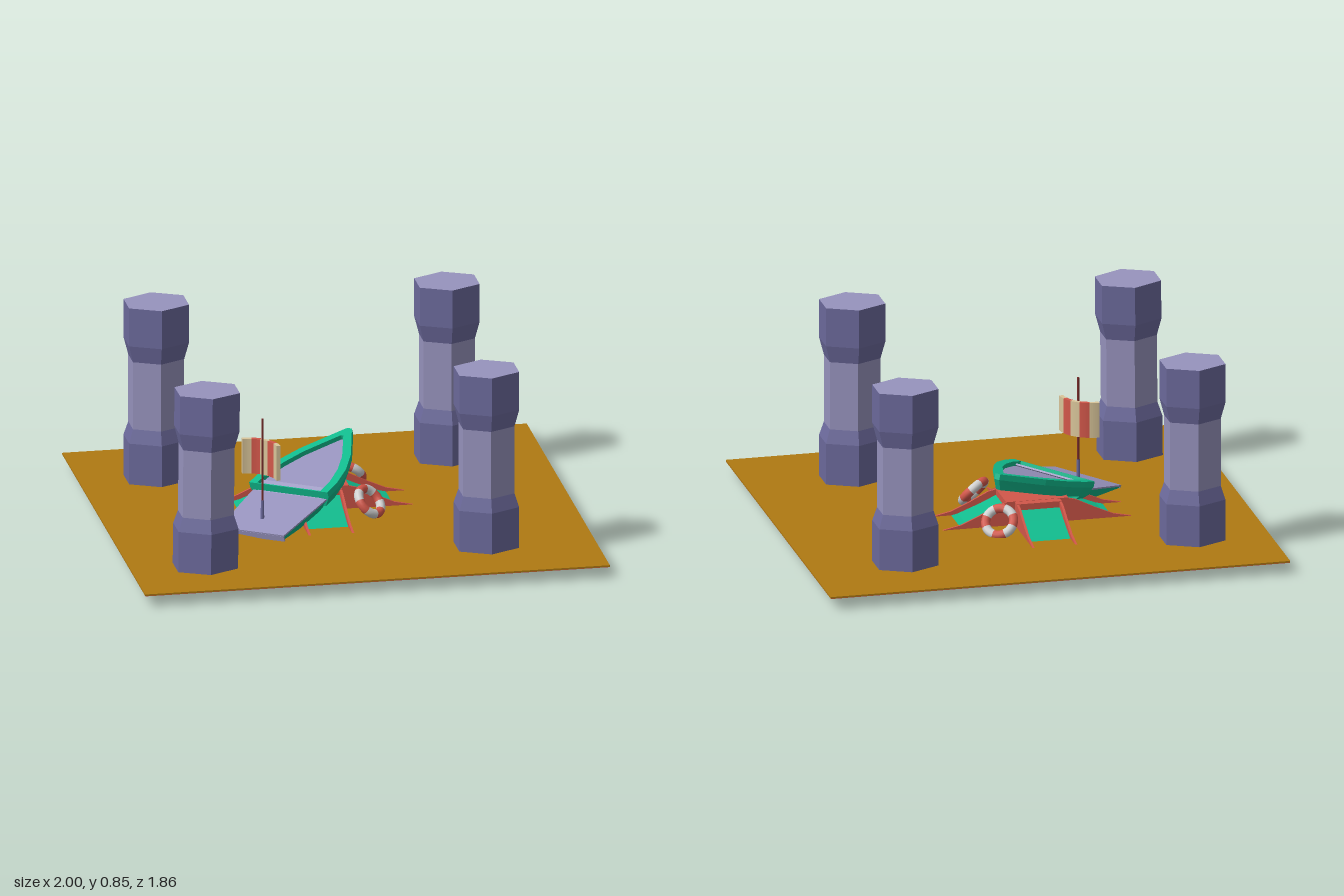
import * as THREE from 'three';

const mat = (name, color, extra = {}) => Object.assign(new THREE.MeshStandardMaterial({ color, ...extra }), { name });

export function createModel() {
  const sand = mat('ochre ground', 0xb07a12);
  const red = mat('red', 0xd2574a);
  const green = mat('green', 0x11bc8e);
  const stone = mat('pale violet', 0x9793bd);
  const darkStone = mat('dark violet', 0x6c6a9c);
  const cream = mat('cream', 0xd9c59a);
  const white = mat('white', 0xd0d0d0);
  const wood = mat('dark red wood', 0x7a2c2a);

  const model = new THREE.Group();
  const add = (parent, name, geo, material, x = 0, y = 0, z = 0) => {
    const m = new THREE.Mesh(geo, material);
    m.name = name;
    m.position.set(x, y, z);
    parent.add(m);
    return m;
  };
  const group = (parent, name, x = 0, y = 0, z = 0) => {
    const g = new THREE.Group();
    g.name = name;
    g.position.set(x, y, z);
    parent.add(g);
    return g;
  };
  const shapeOf = (pts) => new THREE.Shape(pts.map(([x, y]) => new THREE.Vector2(x, y)));
  const mirrorX = (pts) => pts.map(([x, y]) => [-x, y]).reverse();

  // Ground sheet with a red underside
  add(model, 'ground', new THREE.BoxGeometry(2, 0.007, 1.86), sand, 0, 0.0545, 0);
  add(model, 'groundUnderside', new THREE.BoxGeometry(1.998, 0.002, 1.858), red, 0, 0.05, 0);

  // Hexagonal pillars with flared ends: [bottom, top, bottom radius, top radius, dark]
  const wide = 0.125, slim = 0.107;
  const bands = [
    [0, 0.185, wide, wide, true], [0.185, 0.245, wide, slim, true], [0.245, 0.545, slim, slim, false],
    [0.545, 0.62, slim, wide, true], [0.62, 0.79, wide, wide, true],
  ];
  [[-0.67, -0.54], [0.587, -0.57], [-0.68, 0.612], [0.537, 0.575]].forEach(([x, z], i) => {
    const pillar = group(model, 'pillar', x, 0.055, z);
    pillar.scale.x = 1.19;
    if (i === 2) {
      // one pillar has settled and leans a little
      pillar.position.y = 0.05;
      pillar.rotation.set(-0.01, 0, -0.012);
    }
    bands.forEach(([y0, y1, r0, r1, dark]) => {
      const side = dark ? darkStone : stone;
      add(pillar, dark ? 'pillarFlare' : 'pillarShaft', new THREE.CylinderGeometry(r1, r0, y1 - y0, 6).toNonIndexed(),
        [side, stone, darkStone], 0, (y0 + y1) / 2, 0).geometry.computeVertexNormals();
    });
  });

  // Cross-shaped building half sunk in the ground
  const cross = group(model, 'sunkenBuilding', -0.08, 0, -0.095);
  const slope = [[0.135, 0.13], [0.2, 0.1], [0.3, 0.061], [0.4, 0.037], [0.585, 0.02]];
  const eave = [[0.55, 0], [0.615, 0.022], [0.6, 0.045], [0.42, 0.056], [0.33, 0.075], [0.25, 0.11], [0.17, 0.15], [0.13, 0.16]];
  const body = [[0.55, 0], ...[...slope].reverse()];
  const extrude = (pts, depth) => new THREE.ExtrudeGeometry(shapeOf(pts), { depth, bevelEnabled: false }).translate(0, 0, -depth / 2);
  const both = (pts) => [...pts, ...mirrorX(pts)];
  for (const turn of [0, Math.PI / 2]) {
    const wing = group(cross, 'wing');
    wing.rotation.y = turn;
    add(wing, 'wingBody', extrude(both(body), 0.18), red);
    for (const s of [-1, 1]) {
      add(wing, 'sideRail', extrude(both(eave), 0.01), red, 0, 0, s * 0.093);
      const roof = [...slope].reverse().concat(slope.map(([x, y]) => [x, y + 0.004]));
      const strip = add(wing, 'slopingRoof', extrude(roof, 0.178), green);
      strip.rotation.y = s > 0 ? 0 : Math.PI;
    }
  }
  add(cross, 'centreBlock', new THREE.BoxGeometry(0.27, 0.04, 0.196), red, 0, 0.142, 0);
  add(cross, 'centreBlockAcross', new THREE.BoxGeometry(0.196, 0.04, 0.27), red, 0, 0.141, 0);

  // Boat pitched bow-up, pointing along its local +z
  const heading = 2.38;
  const boat = group(model, 'boat', -0.22, 0.195, 0.075);
  boat.rotation.set(-0.255, heading, -0.08, 'YXZ');
  const slab = (pts, depth, taper = 1, hole) => {
    const shape = shapeOf(pts);
    if (hole) shape.holes.push(new THREE.Path(hole.map(([x, y]) => new THREE.Vector2(x, y))));
    const geo = new THREE.ExtrudeGeometry(shape, { depth, bevelEnabled: false }).rotateX(Math.PI / 2);
    const p = geo.attributes.position;
    for (let i = 0; i < p.count; i++) {
      if (p.getY(i) < -depth / 2) p.setXYZ(i, p.getX(i) * taper, p.getY(i), p.getZ(i) * (1 + taper) / 2);
    }
    geo.computeVertexNormals();
    return geo;
  };
  const bowSide = [[0.2, 0], [0.198, 0.08], [0.175, 0.19], [0.13, 0.3], [0.07, 0.4], [0.012, 0.495]];
  const innerSide = [[0.162, 0.005], [0.16, 0.08], [0.138, 0.18], [0.098, 0.28], [0.045, 0.37], [0.006, 0.435]];
  const outline = both(bowSide), inner = both(innerSide);
  add(boat, 'foreHull', slab(outline, 0.045, 0.88), green, 0, -0.025, 0);
  add(boat, 'foreRim', slab(outline, 0.025, 1, inner), green);
  add(boat, 'foreDeck', slab(inner, 0.006), stone, 0, -0.02, 0);
  add(boat, 'deckStep', new THREE.BoxGeometry(0.325, 0.008, 0.055), stone, 0, -0.025, 0.022).rotation.x = -0.5;
  const aft = [[-0.165, -0.31], [0.165, -0.31], [0.19, 0.03], [-0.19, 0.03]];
  add(boat, 'aftHull', slab(aft, 0.08, 0.6), green, 0, -0.04, 0);
  add(boat, 'aftDeck', slab(aft, 0.007), stone, 0, -0.034, 0);
  add(boat, 'transom', new THREE.BoxGeometry(0.325, 0.025, 0.006), stone, 0, -0.052, -0.308);

  // Mast and its bulging striped sail
  const rig = group(model, 'rig', -0.356, 0, 0.205);
  rig.rotation.y = heading;
  add(rig, 'mastFoot', new THREE.CylinderGeometry(0.007, 0.008, 0.09, 8), darkStone, 0, 0.145, 0);
  add(rig, 'mast', new THREE.CylinderGeometry(0.005, 0.005, 0.42, 8), wood, 0, 0.345, 0);
  const R = 0.14, half = 0.78, stripes = 5;
  for (let i = 0; i < stripes; i++) {
    const a0 = Math.PI / 2 - half + (2 * half * i) / stripes;
    const a1 = a0 + (2 * half) / stripes;
    const sector = new THREE.Shape();
    sector.absarc(0, 0, R, a0, a1, false);
    sector.absarc(0, 0, R - 0.018, a1, a0, true);
    const geo = new THREE.ExtrudeGeometry(sector, { depth: 0.155, bevelEnabled: false, curveSegments: 3 }).rotateX(Math.PI / 2);
    add(rig, 'sailStripe', geo, i % 2 ? red : cream, 0, 0.455, -R + 0.03);
  }

  // Striped lifebuoys leaning against the building
  const buoys = [[[0.125, 0.12, 0.105], [0.55, 0.65, 0.5]], [[0.108, 0.112, -0.29], [0.4, 0.62, -0.65]]];
  for (const [pos, n] of buoys) {
    const buoy = group(model, 'lifebuoy', ...pos);
    buoy.quaternion.setFromUnitVectors(new THREE.Vector3(0, 0, 1), new THREE.Vector3(...n).normalize());
    for (let i = 0; i < 8; i++) {
      const part = add(buoy, 'lifebuoySegment', new THREE.TorusGeometry(0.061, 0.02, 10, 4, Math.PI / 4), i % 2 ? white : red);
      part.rotation.z = (i * Math.PI) / 4;
    }
  }
  return model;
}
